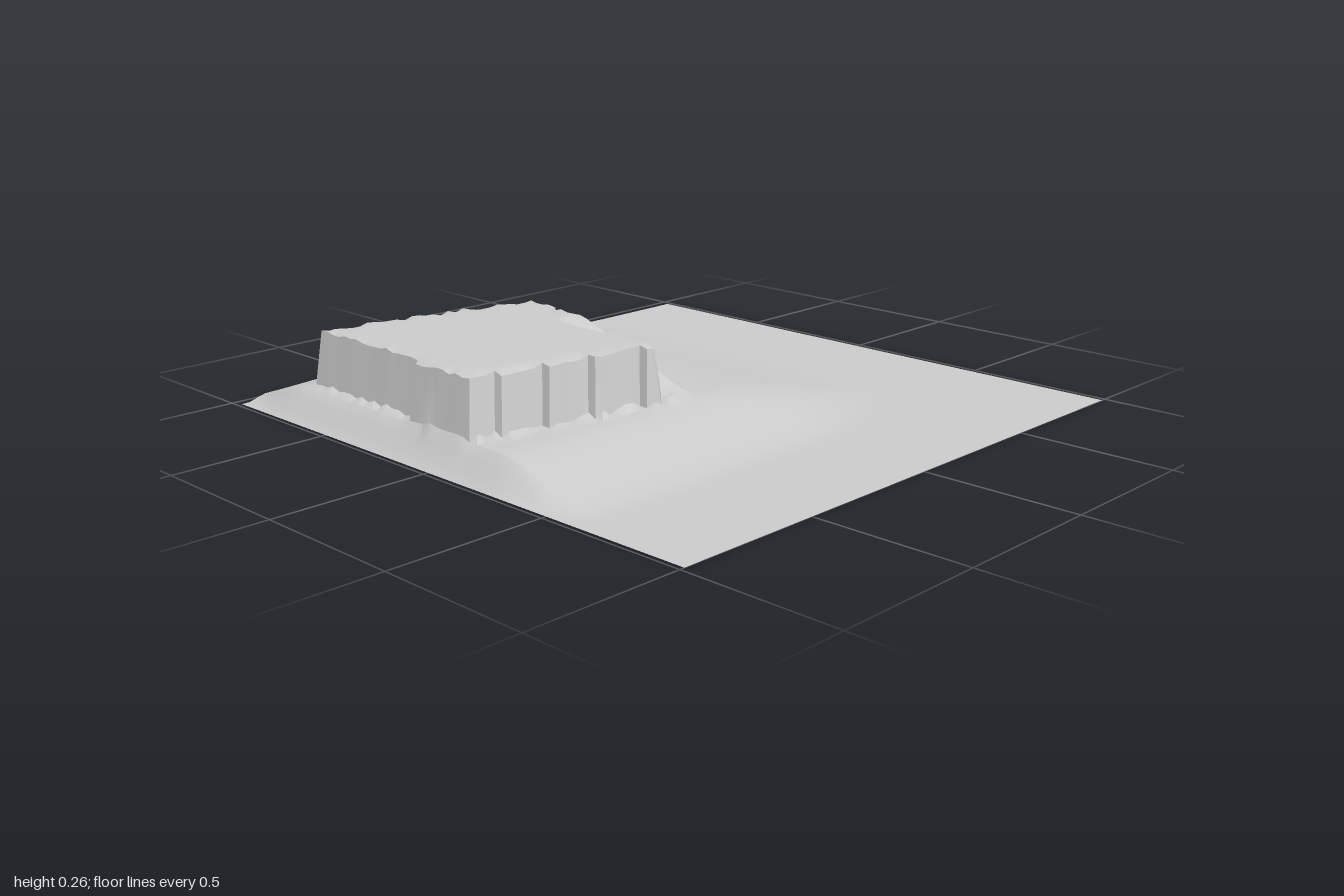
import * as THREE from 'three';
import { toCreasedNormals } from 'three/addons/utils/BufferGeometryUtils.js';

const BASE = 0.085, TOP = 0.265;

// piecewise-linear lookup through [input, output] pairs
function lookup(points, v) {
  if (v <= points[0][0]) return points[0][1];
  for (let i = 1; i < points.length; i++) {
    const [a, p] = points[i - 1], [b, q] = points[i];
    if (v <= b) return p + (q - p) * (v - a) / (b - a);
  }
  return points[points.length - 1][1];
}

// small seeded noise for the ragged rock
function noise(x, z) {
  const s = Math.sin(x * 127.1 + z * 311.7) * 43758.5453;
  return s - Math.floor(s);
}

// plateau outline, slightly skewed
const leftEdge = [[-0.75, -0.835], [-0.22, -0.845], [-0.2, -0.87], [0.06, -0.885]];
const rightEdge = [[-0.6, -0.07], [-0.43, -0.085], [-0.4, -0.1], [0.2, -0.115]];
const backEdge = [[-0.84, -0.735], [-0.07, -0.575]];
const frontEdge = [[-0.88, 0.06], [-0.22, 0.185]];
const backBulge = [[-0.985, 0], [-0.82, 0.012], [-0.65, 0.033], [-0.5, 0.034], [-0.28, 0.018],
  [-0.05, 0.025], [0.12, 0.018], [0.35, 0.01], [0.62, 0]];

function onPlateau(x, z) {
  return x > lookup(leftEdge, z) && x < lookup(rightEdge, z)
    && z > lookup(backEdge, x) && z < lookup(frontEdge, x);
}

// gentle mound, falling off at a different rate on each side
function moundHeight(x, z) {
  const dx = x > -0.03 ? (x + 0.03) / 0.66 : x < -0.89 ? (-0.89 - x) / 0.095 : 0;
  const dz = z > 0.2 ? (z - 0.2) / 0.43 : z < -0.73 ? (-0.73 - z) / 0.33 : 0;
  return BASE * (1 - THREE.MathUtils.smoothstep(Math.hypot(dx, dz), 0, 1));
}

function terrainHeight(x, z, step) {
  if (onPlateau(x, z)) {
    // ramp cut into the right-hand edge
    if (x > -0.23 && z > -0.28) return THREE.MathUtils.mapLinear(z, -0.28, 0.2, 0.26, 0.09);
    const rim = !onPlateau(x - step, z) || !onPlateau(x + step, z)
      || !onPlateau(x, z - step) || !onPlateau(x, z + step);
    return rim ? TOP - 0.012 * noise(x, z) : TOP;
  }
  // rubble at the foot of the cliffs
  const foot = onPlateau(x - step, z) || onPlateau(x + step, z)
    || onPlateau(x, z - step) || onPlateau(x, z + step);
  return moundHeight(x, z) + (foot ? 0.02 * noise(z, x) : 0);
}

export function createModel() {
  const group = new THREE.Group();
  group.name = 'plateauTerrain';

  // ground sheet raised by the height rule
  const cells = 64, size = 1.968, step = size / cells;
  const ground = new THREE.PlaneGeometry(size, size, cells, cells);
  ground.rotateX(-Math.PI / 2);
  ground.translate(0, 0, 1 - size / 2);
  const pos = ground.attributes.position;
  for (let i = 0; i < pos.count; i++) {
    const x = pos.getX(i), z = pos.getZ(i);
    pos.setY(i, terrainHeight(x, z, step));
    // wavy back border
    if (i <= cells) pos.setZ(i, z - lookup(backBulge, x));
  }

  const terrain = new THREE.Mesh(
    toCreasedNormals(ground, 0.5),
    new THREE.MeshStandardMaterial({ color: 0xcccccc, side: THREE.DoubleSide }),
  );
  terrain.name = 'terrain';
  group.add(terrain);
  return group;
}
